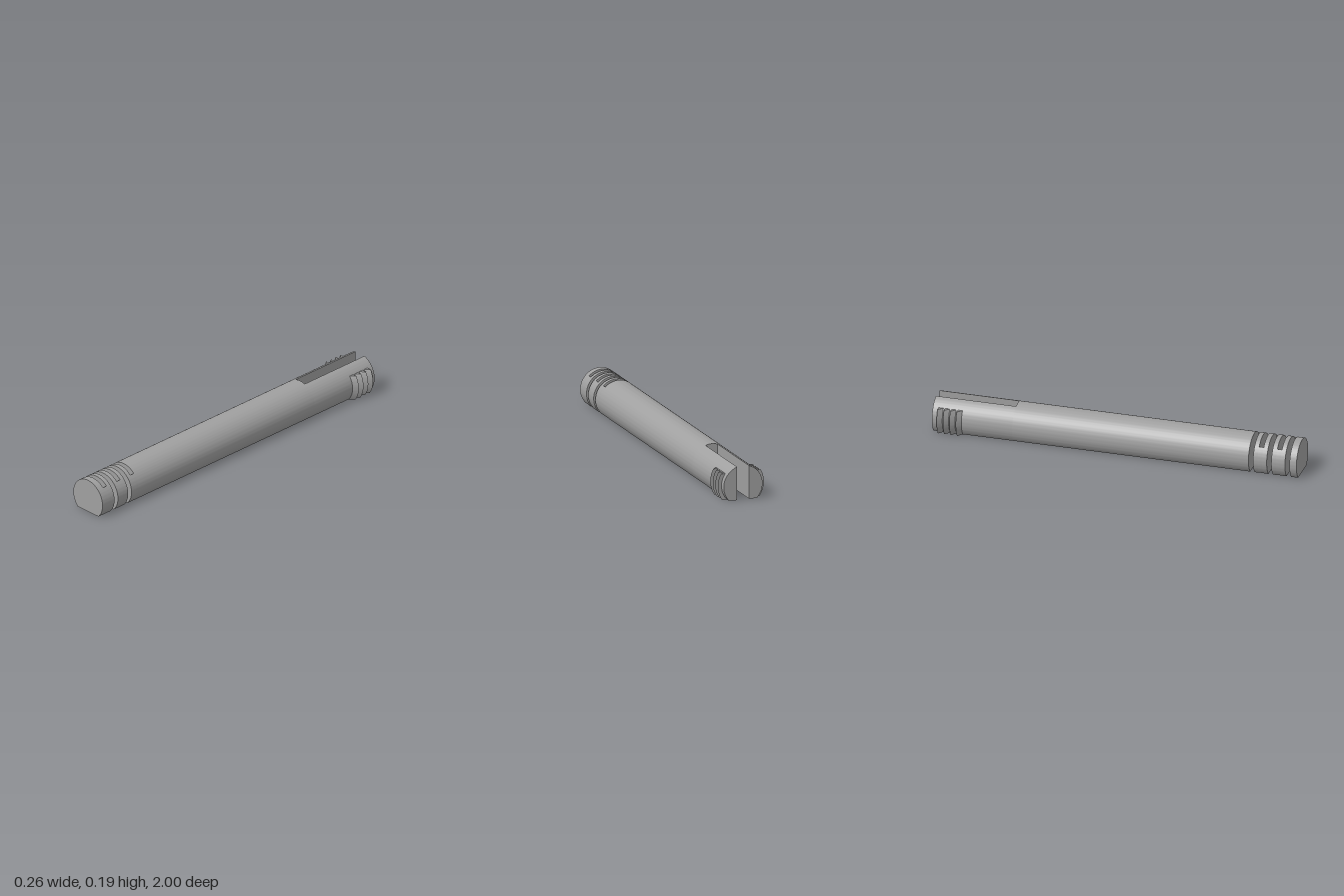
import * as THREE from 'three';
import { toCreasedNormals } from 'three/addons/utils/BufferGeometryUtils.js';

const R = 0.11;      // shaft radius
const CY = 0.077;    // height of the shaft axis above its flat underside
const BARB_R = 0.131;
const BARB_TOP = 0.143;

// Keep the part of a polygon where side * (x - limit) >= 0
function clip(points, limit, side) {
  const out = [];
  points.forEach((p, i) => {
    const q = points[(i + 1) % points.length];
    const a = side * (p.x - limit), b = side * (q.x - limit);
    if (a >= 0) out.push(p);
    if ((a > 0 && b < 0) || (a < 0 && b > 0)) out.push(p.clone().lerp(q, a / (a - b)));
  });
  return out;
}

// Round section with a flat bottom, limited to x0..x1, swept from z0 to z1
function shaftPiece(x0, x1, z0, z1) {
  const start = -Math.asin(CY / R), sweep = Math.PI - 2 * start, n = 72;
  let pts = [];
  for (let i = 0; i <= n; i++) {
    const a = start + (sweep * i) / n;
    pts.push(new THREE.Vector2(R * Math.cos(a), Math.max(0, CY + R * Math.sin(a))));
  }
  pts = clip(clip(pts, x0, 1), x1, -1);
  const geo = new THREE.ExtrudeGeometry(new THREE.Shape(pts), { depth: z1 - z0, bevelEnabled: false });
  geo.translate(0, 0, z0);
  return toCreasedNormals(geo, 0.5);
}

// Curved saw tooth: steep face to the back, ramp falling toward the front
function barbGeometry(side, zTip) {
  const rows = 20, pos = [];
  const ring = (i) => {
    const y = (BARB_TOP * i) / rows;
    const at = (r) => side * Math.sqrt(r * r - (y - CY) ** 2);
    return [
      [at(R - 0.001), y, zTip],
      [at(BARB_R), y, zTip],
      [at(R - 0.001), y, zTip + 0.026],
    ];
  };
  const tri = (a, b, c) => pos.push(...a, ...(side > 0 ? b : c), ...(side > 0 ? c : b));
  for (let i = 0; i < rows; i++) {
    const lo = ring(i), hi = ring(i + 1);
    for (let k = 0; k < 3; k++) {
      const m = (k + 1) % 3;
      tri(lo[k], hi[k], hi[m]);
      tri(lo[k], hi[m], lo[m]);
    }
  }
  const [a, b, c] = ring(0), [d, e, f] = ring(rows);
  tri(a, b, c);
  tri(d, f, e);
  const geo = new THREE.BufferGeometry();
  geo.setAttribute('position', new THREE.Float32BufferAttribute(pos, 3));
  return toCreasedNormals(geo, 0.5);
}

export function createModel() {
  const model = new THREE.Group();
  model.name = 'slottedPin';
  const grey = new THREE.MeshStandardMaterial({ color: 0xa0a0a0 });
  grey.name = 'grey';
  const add = (name, geo) => {
    const mesh = new THREE.Mesh(geo, grey);
    mesh.name = name;
    model.add(mesh);
  };

  // Solid shaft
  add('shaft', shaftPiece(-1, 1, -0.56, 0.737));

  // Serpentine spring at the front: bars joined by thin webs on alternating sides
  const slit = 0.025, pitch = 0.05;
  for (let i = 0; i < 5; i++) {
    const z = 0.737 + i * pitch;
    if (i % 2 === 0) add('leftWeb', shaftPiece(0.075, 1, z, z + slit));
    else add('rightWeb', shaftPiece(-1, -0.08, z, z + slit));
    add(i < 4 ? 'springBar' : 'frontCap', shaftPiece(-1, 1, z + slit, i < 4 ? z + pitch : 1));
  }

  // Split back end: two prongs, each with four barbs
  for (const side of [1, -1]) {
    const label = side > 0 ? 'left' : 'right';
    add(label + 'Prong', side > 0 ? shaftPiece(0.034, 1, -1, -0.56) : shaftPiece(-1, -0.034, -1, -0.56));
    for (let i = 0; i < 4; i++) add(label + 'Barb', barbGeometry(side, -0.968 + i * 0.035));
  }
  return model;
}
